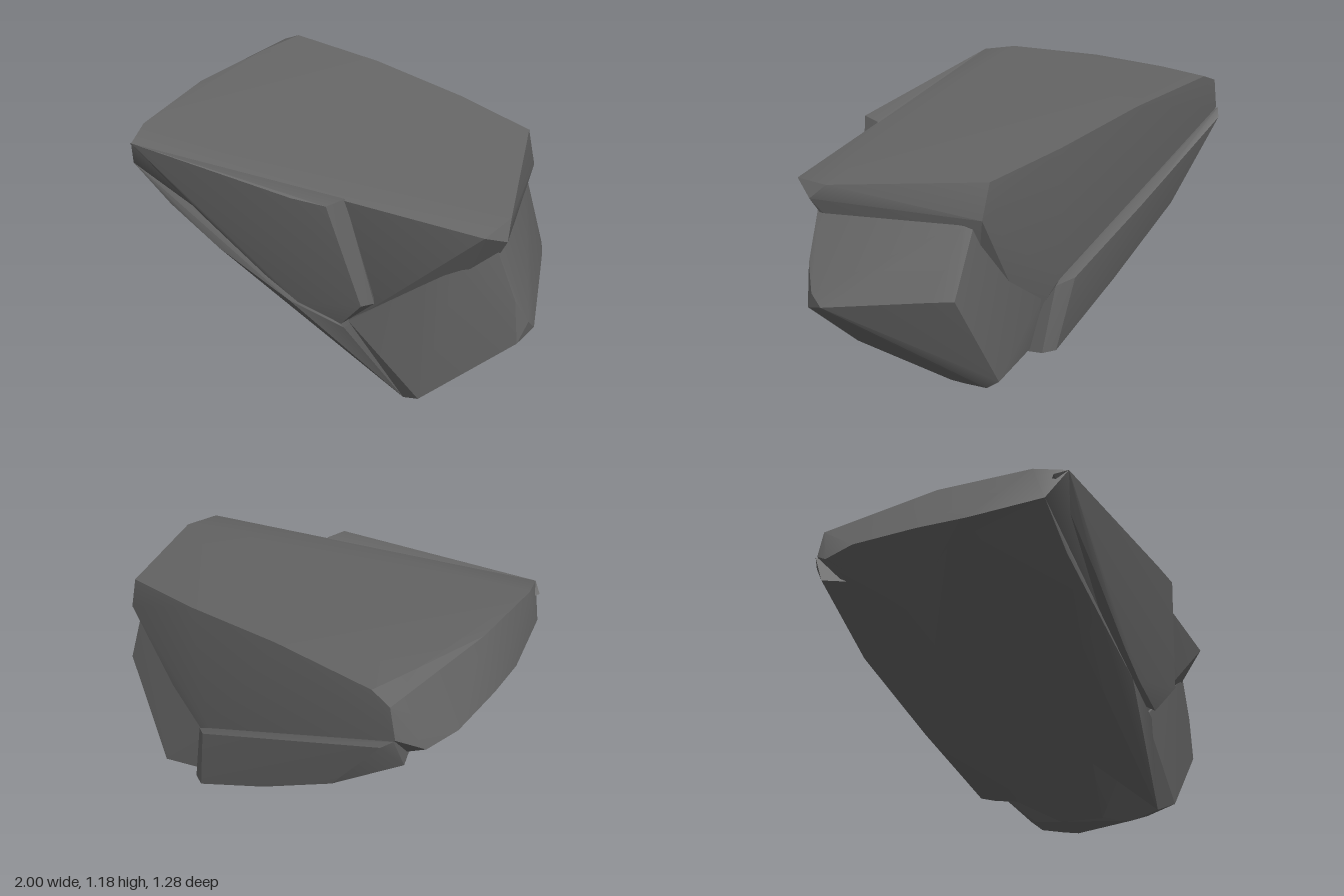
import * as THREE from 'three';
import { ConvexGeometry } from 'three/addons/geometries/ConvexGeometry.js';
import { toCreasedNormals } from 'three/addons/utils/BufferGeometryUtils.js';

const stone = new THREE.MeshStandardMaterial({ color: 0x666666 });

// One faceted chunk of rock, spanned by its corner points; gentle angles are smoothed.
function chunk(name, corners) {
  const hull = new ConvexGeometry(corners.map((c) => new THREE.Vector3(...c)));
  const mesh = new THREE.Mesh(toCreasedNormals(hull, 0.42), stone);
  mesh.name = name;
  return mesh;
}

export function createModel() {
  const rock = new THREE.Group();
  rock.name = 'rock';

  // Core: sloping top, bevelled left end and a keel that falls to the right
  rock.add(chunk('mainBody', [
    // top rim
    [-0.89, 1.14, -0.6], [-0.8, 1.18, -0.6], [-0.3, 1.17, -0.585],
    [0.2, 1.125, -0.565], [0.59, 1.085, -0.515], [0.74, 1.04, -0.2], [0.89, 1.0, 0.1],
    [0.92, 0.93, 0.17], [0.88, 0.98, 0.28], [0.28, 1.02, 0.4], [-0.72, 1.07, 0.64],
    [-0.78, 1.1, 0.5], [-0.86, 1.13, 0.05], [-0.83, 1.165, -0.35],
    // left end
    [-0.92, 1.0, -0.6], [-0.98, 0.92, -0.48], [-1.0, 0.92, -0.3], [-0.95, 0.91, 0.02],
    [-0.9, 0.9, 0.25], [-0.79, 0.93, 0.57],
    // back lower edge and keel
    [0.63, 0.93, -0.51], [0.15, 0.5, -0.54], [0.2, 0.18, -0.45], [-0.88, 0.8, -0.3],
    [-0.75, 0.68, -0.2], [-0.4, 0.46, -0.2], [0, 0.22, -0.15], [0.35, 0.03, -0.2],
    [0.4, 0.02, 0], [0.25, 0.38, 0.33],
  ]));

  // Big triangular plate standing proud of the front
  rock.add(chunk('frontPlate', [
    [-0.72, 1.07, 0.64], [-0.77, 1.04, 0.6], [-0.3, 1.03, 0.58], [0.1, 1.02, 0.54],
    [0.26, 1.02, 0.51], [0.28, 1.02, 0.41], [0.38, 0.55, 0.43], [0.39, 0.53, 0.35],
    [0.25, 0.4, 0.4], [0.05, 0.46, 0.45], [-0.1, 0.55, 0.48], [-0.4, 0.77, 0.54],
    [-0.5, 0.9, 0.2], [0.2, 0.6, 0.1],
  ]));

  // Narrow ledge running down below the front plate
  rock.add(chunk('lowerLedge', [
    [-0.79, 0.93, 0.57], [-0.6, 0.77, 0.54], [-0.35, 0.62, 0.51], [0, 0.45, 0.45],
    [0.25, 0.37, 0.38], [0.36, 0.2, 0.31], [0.48, 0.03, 0.25], [0.3, 0.16, 0.27],
    [-0.3, 0.5, 0.4], [-0.87, 0.84, 0.2], [-0.3, 0.45, 0.1], [0.1, 0.21, 0.1],
  ]));

  // Block that juts out at the lower right, with a flat outer panel and a flat back
  rock.add(chunk('rightBlock', [
    // panel
    [0.87, 0.89, 0.17], [0.64, 0.91, -0.43], [0.96, 0.66, 0.15], [1.0, 0.55, 0.1],
    [1.0, 0.5, 0.05], [0.78, 0.58, -0.37], [0.73, 0.59, -0.45],
    // front face
    [0.98, 0.46, 0.15], [0.74, 0.78, 0.24], [0.58, 0.65, 0.29], [0.25, 0.39, 0.35],
    [0.58, 0.08, 0.28], [0.7, 0.22, 0.24],
    // foot
    [0.66, 0.2, -0.25], [0.5, 0.02, 0.18], [0.46, 0, 0.12], [0.46, 0, -0.18],
    [0.48, 0.03, -0.28], [0.51, 0.08, -0.43], [0.5, 0.13, -0.49], [0.33, 0.05, -0.33],
    [0.48, 0.03, 0.25],
    // back
    [0.62, 0.9, -0.46], [0.2, 0.46, -0.5], [0.2, 0.18, -0.45],
  ]));

  // Slab along the lower back
  rock.add(chunk('backSlab', [
    [-0.92, 1.0, -0.61], [-0.88, 0.97, -0.64], [-0.3, 0.72, -0.63], [0.13, 0.52, -0.6],
    [0.2, 0.49, -0.55], [0.26, 0.18, -0.53], [0.2, 0.18, -0.56], [-0.2, 0.38, -0.57],
    [-0.6, 0.62, -0.59], [-0.93, 0.86, -0.55], [-0.8, 0.82, -0.3], [-0.2, 0.4, -0.3], [0.25, 0.13, -0.35],
  ]));

  return rock;
}
